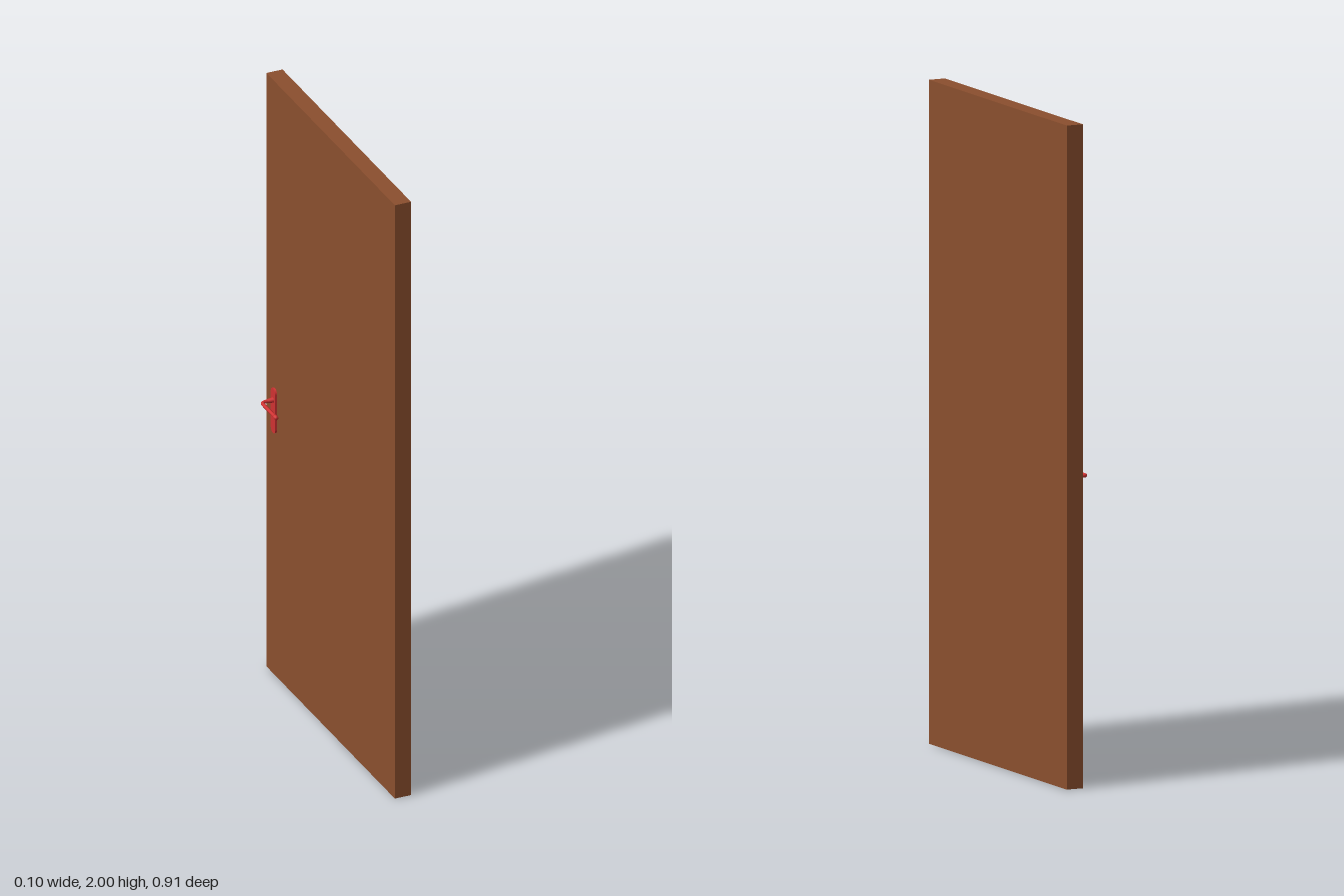
import * as THREE from 'three';

export function createModel() {
  const model = new THREE.Group();
  const wood = new THREE.MeshStandardMaterial({ color: 0x8b4f2e });
  wood.name = 'brown wood';
  const red = new THREE.MeshStandardMaterial({ color: 0xd03232 });
  red.name = 'red metal';

  const add = (name, geometry, material, x = 0, y = 0, z = 0, parent = model) => {
    const mesh = new THREE.Mesh(geometry, material);
    mesh.name = name;
    mesh.position.set(x, y, z);
    parent.add(mesh);
    return mesh;
  };

  // Plain door slab
  add('doorPanel', new THREE.BoxGeometry(0.053, 2, 0.914), wood, 0.0248, 1, 0);

  const handle = new THREE.Group();
  handle.name = 'handle';
  model.add(handle);

  // Upright back plate with rounded ends
  const r = 0.016, h = 0.059;
  const outline = new THREE.Shape();
  outline.absarc(0, h, r, 0, Math.PI, false);
  outline.absarc(0, -h, r, Math.PI, Math.PI * 2, false);
  outline.closePath();
  const plate = new THREE.ExtrudeGeometry(outline, { depth: 0.007, bevelEnabled: false, curveSegments: 12 });
  plate.rotateY(-Math.PI / 2);
  add('backPlate', plate, red, -0.001, 0.893, -0.396, handle);

  // Tapered neck leaving the plate
  const neck = new THREE.CylinderGeometry(0.0055, 0.0085, 0.022, 16);
  neck.rotateZ(Math.PI / 2);
  add('neck', neck, red, -0.018, 0.929, -0.396, handle);

  // Bent lever running toward the hinge side
  const bend = new THREE.CurvePath();
  const v = (x, z) => new THREE.Vector3(x, 0.929, z);
  bend.add(new THREE.LineCurve3(v(-0.026, -0.396), v(-0.034, -0.395)));
  bend.add(new THREE.QuadraticBezierCurve3(v(-0.034, -0.395), v(-0.0465, -0.394), v(-0.0465, -0.38)));
  bend.add(new THREE.LineCurve3(v(-0.0465, -0.38), v(-0.0465, -0.3)));
  add('lever', new THREE.TubeGeometry(bend, 40, 0.0055, 14, false), red, 0, 0, 0, handle);

  // Turned tip closing the lever
  const tipProfile = [[0, 0], [0.0055, 0], [0.0068, 0.003], [0.0068, 0.009], [0.0058, 0.011], [0.0058, 0.016], [0, 0.016]]
    .map(([x, y]) => new THREE.Vector2(x, y));
  const tip = new THREE.LatheGeometry(tipProfile, 14);
  tip.rotateX(Math.PI / 2);
  add('leverTip', tip, red, -0.0465, 0.929, -0.301, handle);

  return model;
}
